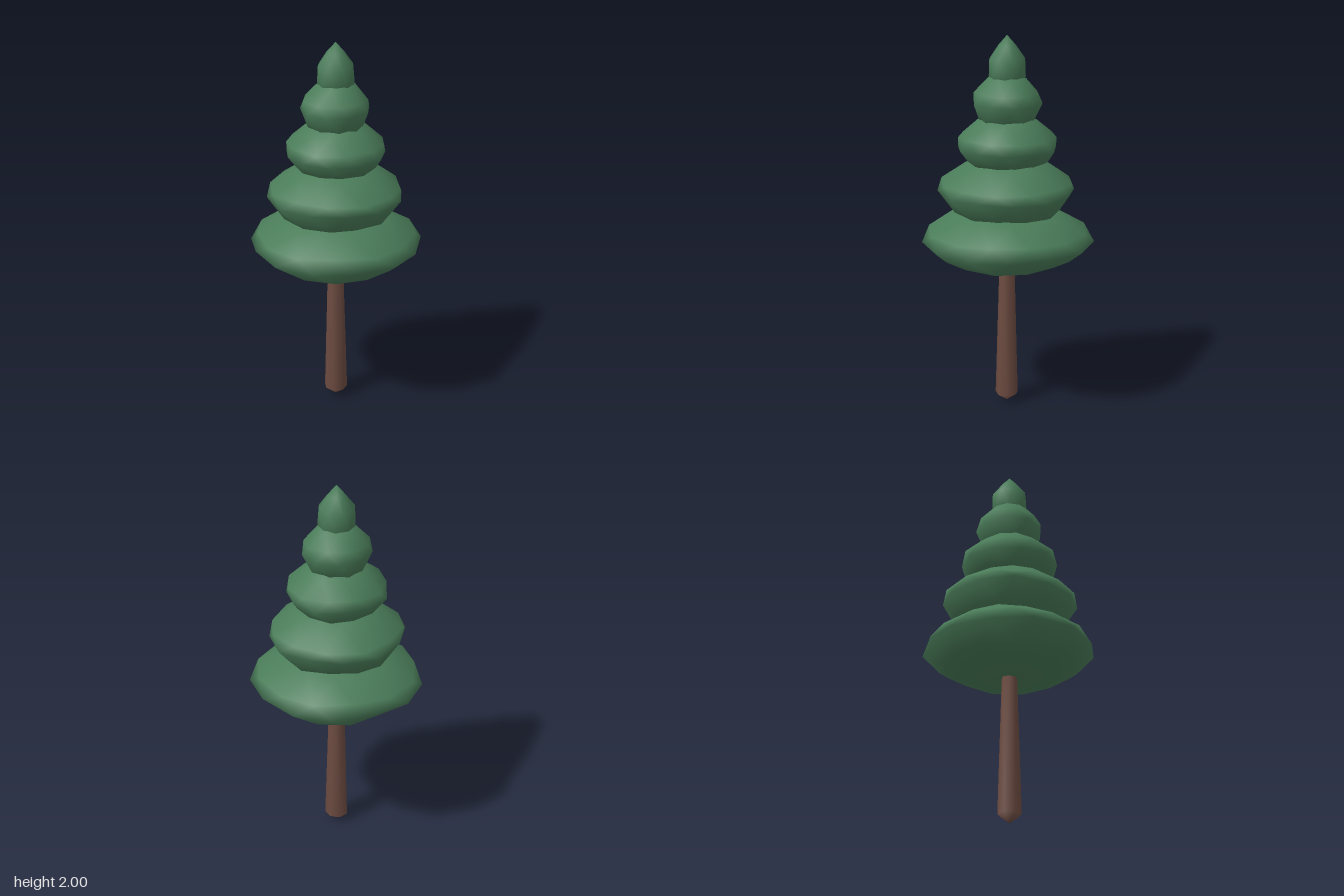
import * as THREE from 'three';
import { mergeVertices } from 'three/addons/utils/BufferGeometryUtils.js';

// Smooth low-poly solid of revolution: each ring is turned half a step and gently wobbled
function lumpySolid(profile, sides, wobble, seed) {
  const points = profile.map(([r, y]) => new THREE.Vector2(r, y));
  const lathe = new THREE.LatheGeometry(points, sides);
  const pos = lathe.attributes.position;
  const n = points.length;
  for (let k = 0; k < pos.count; k++) {
    const ring = k % n;
    const column = Math.floor(k / n) % sides;
    const [r, y] = profile[ring];
    const angle = ((column + ring / 2) / sides) * Math.PI * 2 + seed;
    const radius = r * (1 + wobble * Math.sin(column * 2.4 + ring * 1.7 + seed * 3));
    const lift = r > 0 ? r * wobble * Math.sin(column * 1.9 + ring * 2.3 + seed) : 0;
    pos.setXYZ(k, radius * Math.sin(angle), y + lift, radius * Math.cos(angle));
  }
  lathe.deleteAttribute('uv');
  lathe.deleteAttribute('normal');
  const solid = mergeVertices(lathe, 1e-5);
  solid.computeVertexNormals();
  return solid;
}

export function createModel() {
  const group = new THREE.Group();
  const foliage = new THREE.MeshStandardMaterial({ color: 0x4a7c59 });
  foliage.name = 'foliageGreen';
  const bark = new THREE.MeshStandardMaterial({ color: 0x6d4c41 });
  bark.name = 'barkBrown';

  const add = (name, geometry, material) => {
    const mesh = new THREE.Mesh(geometry, material);
    mesh.name = name;
    group.add(mesh);
  };

  // Tapered trunk with a blunt point at the foot
  add('trunk', lumpySolid([
    [0, 0], [0.062, 0.045], [0.042, 0.8], [0, 0.85],
  ], 7, 0.03, 0.3), bark);

  // Foliage tiers, widest at the bottom: [radius, height] profiles
  const tiers = [
    { sides: 13, profile: [[0, 0.775], [0.18, 0.79], [0.34, 0.83], [0.452, 0.92], [0.42, 0.985], [0.29, 1.065], [0.15, 1.12], [0, 1.14]] },
    { sides: 12, profile: [[0, 1.02], [0.17, 1.04], [0.285, 1.09], [0.357, 1.19], [0.345, 1.24], [0.22, 1.33], [0.11, 1.37], [0, 1.39]] },
    { sides: 11, profile: [[0, 1.29], [0.12, 1.305], [0.21, 1.35], [0.262, 1.42], [0.258, 1.48], [0.16, 1.56], [0.08, 1.6], [0, 1.61]] },
    { sides: 9, profile: [[0, 1.5], [0.08, 1.51], [0.145, 1.565], [0.18, 1.65], [0.17, 1.705], [0.1, 1.78], [0, 1.82]] },
    { sides: 8, profile: [[0, 1.71], [0.06, 1.73], [0.095, 1.79], [0.096, 1.88], [0.045, 1.95], [0, 2]] },
  ];
  tiers.forEach(({ sides, profile }, i) => {
    add(`foliageTier${i + 1}`, lumpySolid(profile, sides, 0.02, 0.4 + i * 0.9), foliage);
  });

  return group;
}
